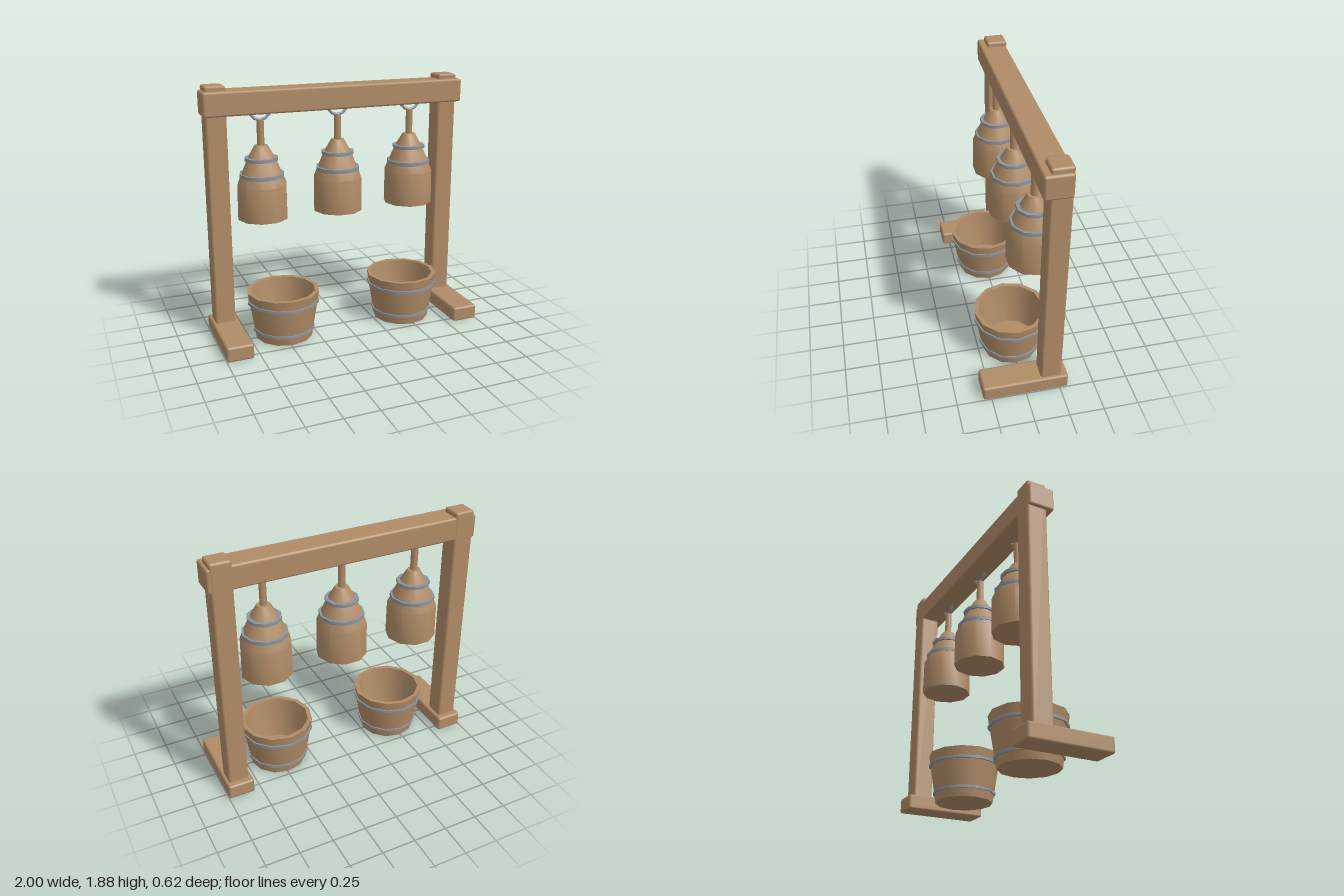
import * as THREE from 'three';
import { toCreasedNormals } from 'three/addons/utils/BufferGeometryUtils.js';
import { RoundedBoxGeometry } from 'three/addons/geometries/RoundedBoxGeometry.js';

const wood = new THREE.MeshStandardMaterial({ color: 0xb08c66 });
wood.name = 'wood';
const iron = new THREE.MeshStandardMaterial({ color: 0x8c959e });
iron.name = 'iron';

function add(parent, name, geometry, material, x = 0, y = 0, z = 0) {
  const mesh = new THREE.Mesh(geometry, material);
  mesh.name = name;
  mesh.position.set(x, y, z);
  parent.add(mesh);
  return mesh;
}

// Chamfered timber given by its min/max extents
function timber(parent, name, [x0, x1], [y0, y1], [z0, z1]) {
  const geometry = new RoundedBoxGeometry(x1 - x0, y1 - y0, z1 - z0, 1, 0.016);
  add(parent, name, geometry, wood, (x0 + x1) / 2, (y0 + y1) / 2, (z0 + z1) / 2);
}

// Turned shape with a corner on the x axis; soft around, crisp along the profile
function turned(profile, sides, crease = 0.7) {
  const points = profile.map(([r, y]) => new THREE.Vector2(r, y));
  return toCreasedNormals(new THREE.LatheGeometry(points, sides, Math.PI / 2), crease);
}

// Flat hoop with a rectangular section
function hoop(parent, name, inner, outer, y0, y1, sides) {
  const section = [[inner, y0], [outer, y0], [outer, y1], [inner, y1], [inner, y0]];
  add(parent, name, turned(section, sides), iron);
}

function createHangingBag() {
  const bag = new THREE.Group();
  bag.name = 'hangingBag';
  const body = [[0, 0.9], [0.187, 0.9], [0.184, 1.155], [0.155, 1.225], [0.105, 1.34], [0.048, 1.44], [0, 1.44]];
  add(bag, 'bagBody', turned(body, 10), wood);
  hoop(bag, 'lowerBagHoop', 0.13, 0.166, 1.21, 1.237, 10);
  hoop(bag, 'upperBagHoop', 0.08, 0.124, 1.33, 1.353, 10);
  add(bag, 'bagStem', new THREE.CylinderGeometry(0.027, 0.027, 0.2, 8), wood, 0, 1.525, 0);
  // Lower half of a ring, sunk into the beam
  const hook = new THREE.TorusGeometry(0.078, 0.011, 6, 6, Math.PI);
  add(bag, 'hook', hook, iron, 0, 1.7, 0).rotation.z = Math.PI;
  return bag;
}

function createBucket() {
  const bucket = new THREE.Group();
  bucket.name = 'bucket';
  // Outside, rim, inner wall and floor in one profile
  const body = [[0, 0], [0.214, 0], [0.272, 0.365], [0.24, 0.365], [0.19, 0.045], [0, 0.045]];
  add(bucket, 'bucketBody', turned(body, 12), wood);
  hoop(bucket, 'lowerBucketHoop', 0.215, 0.235, 0.06, 0.08, 12);
  hoop(bucket, 'upperBucketHoop', 0.25, 0.271, 0.275, 0.296, 12);
  return bucket;
}

export function createModel() {
  const model = new THREE.Group();
  model.name = 'hangingRack';

  // Frame
  timber(model, 'crossBeam', [-1, 1], [1.667, 1.84], [-0.26, -0.065]);
  for (const [side, s] of [['left', 1], ['right', -1]]) {
    const span = (a, b) => (s > 0 ? [a, b] : [-b, -a]);
    timber(model, side + 'Post', span(0.828, 0.978), [0.05, 1.876], [-0.263, -0.113]);
    timber(model, side + 'Foot', span(0.802, 1), [0, 0.113], [-0.31, 0.31]);
  }

  // Hanging bags
  for (const x of [-0.588, 0, 0.588]) {
    const bag = createHangingBag();
    bag.position.set(x, 0, -0.125);
    model.add(bag);
  }

  // Buckets
  for (const x of [-0.487, 0.487]) {
    const bucket = createBucket();
    bucket.position.x = x;
    model.add(bucket);
  }
  return model;
}
